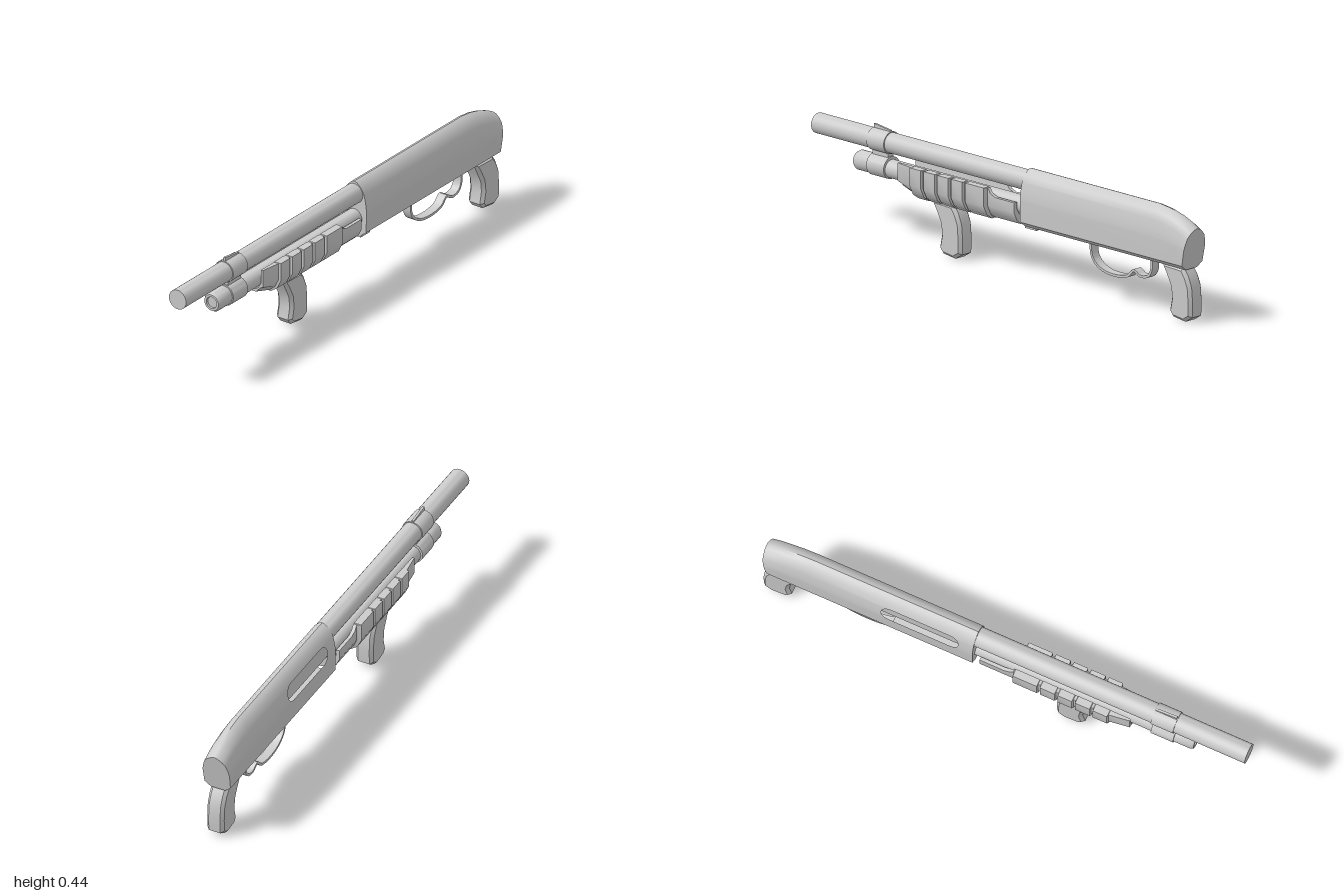
import * as THREE from 'three';
import { toCreasedNormals } from 'three/addons/utils/BufferGeometryUtils.js';

const grey = new THREE.MeshStandardMaterial({ color: 0xcccccc });

function add(parent, name, geometry) {
  const mesh = new THREE.Mesh(geometry, grey);
  mesh.name = name;
  parent.add(mesh);
  return mesh;
}

// Skin over rings of [x, y, z] that follow each other along x.
// skip(i, j) leaves a quad open; caps are fans, or strips for U-shaped rings.
function loft(rings, { skip = () => false, channel = false } = {}) {
  const pos = [], n = rings[0].length;
  const tri = (a, b, c) => pos.push(...a, ...b, ...c);
  const quad = (a, b, c, d) => { tri(a, b, d); tri(b, c, d); };
  for (let i = 0; i < rings.length - 1; i++)
    for (let j = 0; j < n; j++) {
      const k = (j + 1) % n;
      if (!skip(i, j)) quad(rings[i][j], rings[i + 1][j], rings[i + 1][k], rings[i][k]);
    }
  for (const r of [rings[0], [...rings[rings.length - 1]].reverse()]) {
    if (channel) {
      for (let j = 0; j < n / 2 - 1; j++) quad(r[j], r[j + 1], r[n - 2 - j], r[n - 1 - j]);
    } else {
      const mid = [0, 1, 2].map(k => r.reduce((s, p) => s + p[k], 0) / n);
      for (let j = 0; j < n; j++) tri(mid, r[j], r[(j + 1) % n]);
    }
  }
  const g = new THREE.BufferGeometry();
  g.setAttribute('position', new THREE.Float32BufferAttribute(pos, 3));
  return toCreasedNormals(g, 0.6);
}

// Turned part along x from [x, radius] steps, centred at height y
function turned(steps, y) {
  const g = new THREE.LatheGeometry(steps.map(([x, r]) => new THREE.Vector2(r, x)), 24);
  g.rotateZ(-Math.PI / 2).translate(0, y, 0);
  return toCreasedNormals(g, 0.6);
}

// Side outline extruded across z, with an inset bevel
function slab(points, width, bevel = 0) {
  const shape = new THREE.Shape(points.map(([x, y]) => new THREE.Vector2(x, y)));
  const g = new THREE.ExtrudeGeometry(shape, {
    depth: width - 2 * bevel, bevelEnabled: bevel > 0, bevelSegments: 1,
    bevelSize: bevel, bevelThickness: bevel, bevelOffset: -bevel,
  });
  g.translate(0, 0, bevel - width / 2);
  return toCreasedNormals(g, 0.6);
}

function box(x0, x1, y0, y1, width) {
  return new THREE.BoxGeometry(x1 - x0, y1 - y0, width).translate((x0 + x1) / 2, (y0 + y1) / 2, 0);
}

// Receiver body with a rounded side port and an open loading port below
function receiver() {
  const half = [
    { z: 0.03, y: 0.205, a: 0.18, b: 0.42 },
    { z: 0.055, y: 0.225 },
  ];
  const steps = 10, firstPort = half.length, r = 0.037;
  for (let s = 0; s <= steps; s++) {
    const t = -Math.PI / 2 + Math.PI * s / steps;
    const y = 0.345 + r * Math.sin(t), inset = r * (1 - Math.cos(t));
    const z = 0.057 - 0.012 * Math.pow(Math.max(0, y - 0.308) / 0.074, 1.6);
    half.push({ z, y, a: 0.18 + inset, b: 0.5 - inset });
  }
  half.push({ z: 0.032, y: 0.404 }, { z: 0.014, y: 0.422 });
  const rows = [...half, { z: 0, y: 0.427 }, ...[...half].reverse().map(p => ({ ...p, z: -p.z }))];
  const n = rows.length;

  const column = (x, top) => rows.map(p => {
    const y = p.y < 0.225 ? p.y : 0.225 + (p.y - 0.225) * (top - 0.225) / 0.202;
    return [x(p, y), y, p.z];
  });
  const rings = [
    column(() => 0.12, 0.427),
    column(p => p.a ?? 0.217, 0.427),
    column(p => p.b ?? 0.463, 0.427),
    ...[[0.8, 0.427], [0.86, 0.42], [0.92, 0.404], [0.96, 0.388]].map(([x, t]) => column(() => x, t)),
    column((p, y) => 0.97 + (y - 0.205) * 0.185, 0.367),
  ];
  const lastPort = firstPort + steps;
  const skip = (i, j) => i === 1 && (j === n - 1 || (j >= n - 1 - lastPort && j < n - 1 - firstPort));
  return loft(rings, { skip });
}

// U-shaped sliding fore-end with raised ribs
function foreEnd() {
  const ring = ([x, w, top, bottom]) => {
    const out = [[w, top], [w, 0.255], [w * 0.76, bottom + 0.02], [w * 0.38, bottom]];
    const inn = [[0.043, top], [0.043, 0.27], [0.03, 0.247], [0.01, 0.237]];
    const flip = list => list.map(([z, y]) => [-z, y]);
    return [...flip(out), ...[...out].reverse(), ...inn, ...flip(inn).reverse()].map(([z, y]) => [x, y, z]);
  };
  const sections = [[-0.53, 0.052, 0.325, 0.228], [-0.45, 0.063, 0.325, 0.205]];
  for (const [x0, x1] of [[-0.447, -0.385], [-0.375, -0.312], [-0.302, -0.24], [-0.23, -0.166], [-0.156, -0.053]])
    sections.push([x0, 0.063, 0.325, 0.205], [x0 + 0.002, 0.074, 0.327, 0.199],
      [x1 - 0.002, 0.074, 0.327, 0.199], [x1, 0.063, 0.325, 0.205]);
  sections.push([-0.05, 0.057, 0.325, 0.205], [-0.035, 0.057, 0.305, 0.205],
    [-0.01, 0.057, 0.295, 0.205], [0.09, 0.057, 0.295, 0.205]);
  return loft(sections.map(ring), { channel: true });
}

// Curved hand grip
function grip() {
  return slab([
    [0.845, 0.21], [0.865, 0.17], [0.888, 0.125], [0.893, 0.08], [0.882, 0.03], [0.9, 0.008],
    [0.963, 0], [0.998, 0.022], [1.0, 0.08], [0.995, 0.14], [0.978, 0.18], [0.955, 0.21],
  ], 0.072, 0.012);
}

// Bent strip: a smooth path thickened to both sides
function guard() {
  const path = new THREE.CatmullRomCurve3([
    [0.455, 0.215], [0.458, 0.165], [0.475, 0.135], [0.52, 0.11], [0.59, 0.103], [0.65, 0.115],
    [0.683, 0.143], [0.715, 0.127], [0.755, 0.134], [0.774, 0.16], [0.777, 0.215],
  ].map(([x, y]) => new THREE.Vector3(x, y, 0)));
  const one = [], two = [], n = 40, t = 0.005;
  for (let i = 0; i <= n; i++) {
    const p = path.getPoint(i / n), d = path.getTangent(i / n);
    one.push([p.x - d.y * t, p.y + d.x * t]);
    two.unshift([p.x + d.y * t, p.y - d.x * t]);
  }
  return slab([...one, ...two], 0.036);
}

export function createModel() {
  const model = new THREE.Group();
  model.name = 'model';

  // Barrel and magazine tube
  add(model, 'barrel', turned([[-1, 0], [-1, 0.04], [0.14, 0.04], [0.14, 0]], 0.376));
  add(model, 'magazineTube', turned([[-0.72, 0], [-0.72, 0.036], [0.14, 0.036], [0.14, 0]], 0.275));
  add(model, 'tubeCap', turned([
    [-0.778, 0], [-0.778, 0.022], [-0.785, 0.024], [-0.785, 0.033], [-0.775, 0.039], [-0.7, 0.039], [-0.7, 0],
  ], 0.277));

  // Clamp joining both tubes, with the sight on top
  const clamp = new THREE.Group();
  clamp.name = 'clamp';
  model.add(clamp);
  for (const [name, y] of [['upperBand', 0.376], ['lowerBand', 0.278]])
    add(clamp, name, turned([[-0.705, 0], [-0.705, 0.044], [-0.613, 0.044], [-0.613, 0]], y));
  add(clamp, 'bridge', box(-0.7, -0.618, 0.29, 0.36, 0.03));
  add(model, 'frontSight', slab([[-0.703, 0.41], [-0.615, 0.41], [-0.615, 0.424], [-0.703, 0.435]], 0.009));

  // Fore-end and both grips
  add(model, 'foreEnd', foreEnd());
  add(model, 'rearGrip', grip());
  add(model, 'foreGrip', grip()).position.x = -1.215;

  // Receiver, the parts seen through its ports, and the guard
  add(model, 'receiver', receiver());
  add(model, 'bolt', box(0.13, 0.56, 0.295, 0.398, 0.064));
  add(model, 'carrier', box(0.14, 0.46, 0.213, 0.228, 0.07));
  add(model, 'loadingLip', box(0.12, 0.18, 0.198, 0.208, 0.06));
  add(model, 'triggerGuard', guard());
  return model;
}
